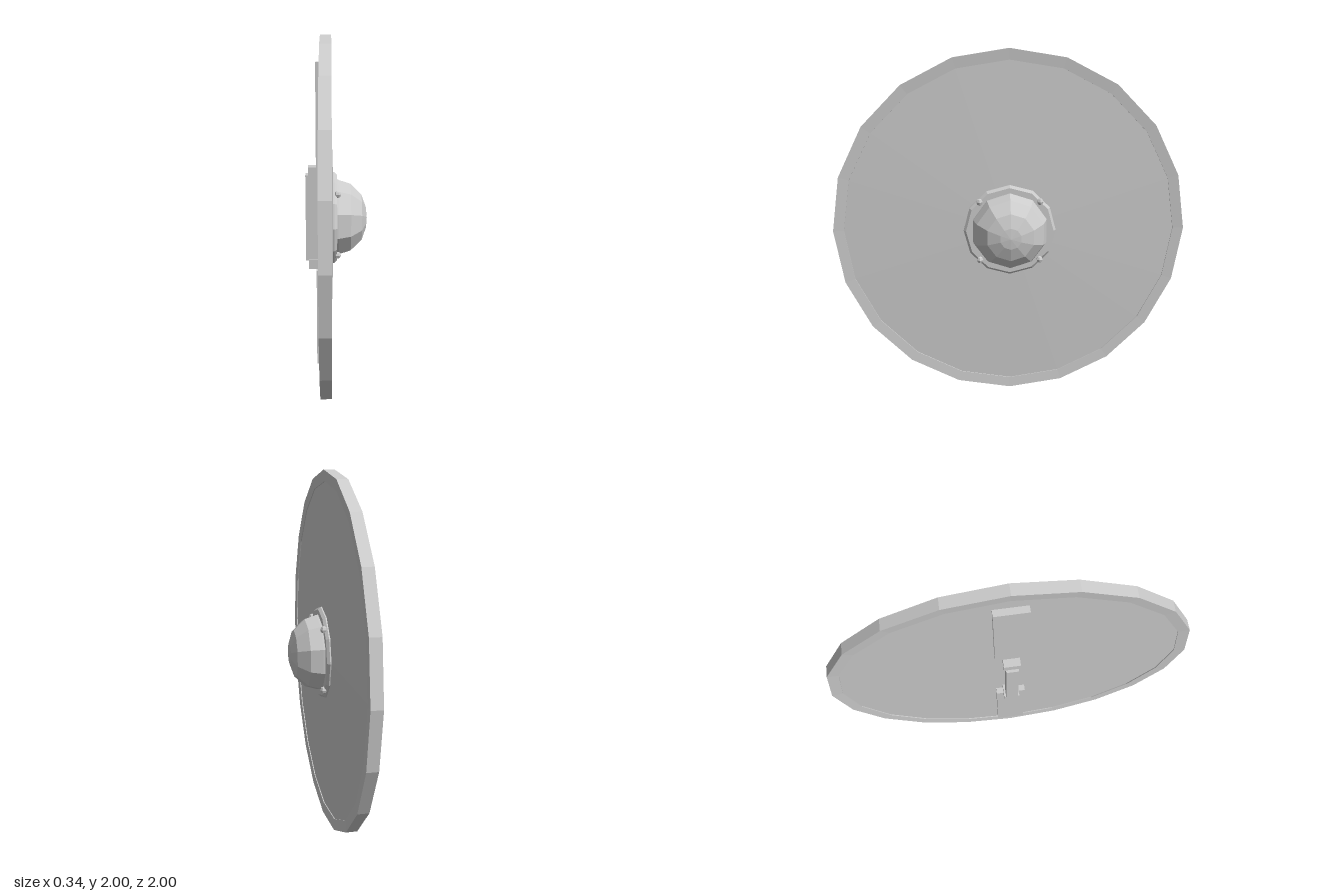
import * as THREE from 'three';

export function createModel() {
  const model = new THREE.Group();
  const grey = new THREE.MeshStandardMaterial({ color: 0xcccccc, flatShading: true });
  grey.name = 'plain grey';

  function add(name, geometry, parent = model) {
    const mesh = new THREE.Mesh(geometry, grey);
    mesh.name = name;
    parent.add(mesh);
    return mesh;
  }

  // Turned part around the x axis, profile as [radius, x], one corner at the top
  function turned(name, profile, sides) {
    const points = profile.map(([r, x]) => new THREE.Vector2(r, x));
    const geometry = new THREE.LatheGeometry(points, sides, -Math.PI / 2);
    geometry.rotateZ(-Math.PI / 2).translate(0, 1, 0);
    return add(name, geometry);
  }

  function block(name, x0, x1, y0, y1, depth) {
    const geometry = new THREE.BoxGeometry(x1 - x0, y1 - y0, depth);
    geometry.translate((x0 + x1) / 2, (y0 + y1) / 2, 0);
    return add(name, geometry);
  }

  // Slightly domed board and the raised rim around it
  turned('board', [[0, -0.08], [0.945, -0.08], [0.945, -0.04], [0, -0.015]], 20);
  turned('rim', [[0.94, -0.04], [0.94, -0.085], [1, -0.09], [1, -0.03], [0.94, -0.035], [0.94, -0.08]], 20);

  // Central boss: bevelled flange and faceted dome
  turned('bossFlange', [[0.262, -0.035], [0.262, -0.015], [0.248, 0], [0, 0]], 12);
  turned('bossDome', [[0.22, -0.005], [0.217, 0.01], [0.196, 0.076], [0.134, 0.138], [0.06, 0.164], [0, 0.17]], 10);

  // Four rivets on the flange
  const rivets = new THREE.Group();
  rivets.name = 'rivets';
  model.add(rivets);
  for (const y of [-0.17, 0.17]) {
    for (const z of [-0.17, 0.17]) {
      const rivet = add('rivet', new THREE.SphereGeometry(0.02, 6, 4), rivets);
      rivet.position.set(0.002, 1 + y, z);
    }
  }

  // Bracing strips, brackets and handle on the back
  block('upperStrip', -0.115, -0.075, 1.295, 1.86, 0.17);
  block('lowerStrip', -0.115, -0.075, 0.14, 0.71, 0.17);
  block('upperBracket', -0.16, -0.075, 1.24, 1.295, 0.09);
  block('lowerBracket', -0.16, -0.075, 0.71, 0.765, 0.09);
  block('handle', -0.175, -0.107, 0.757, 1.25, 0.068);

  return model;
}
